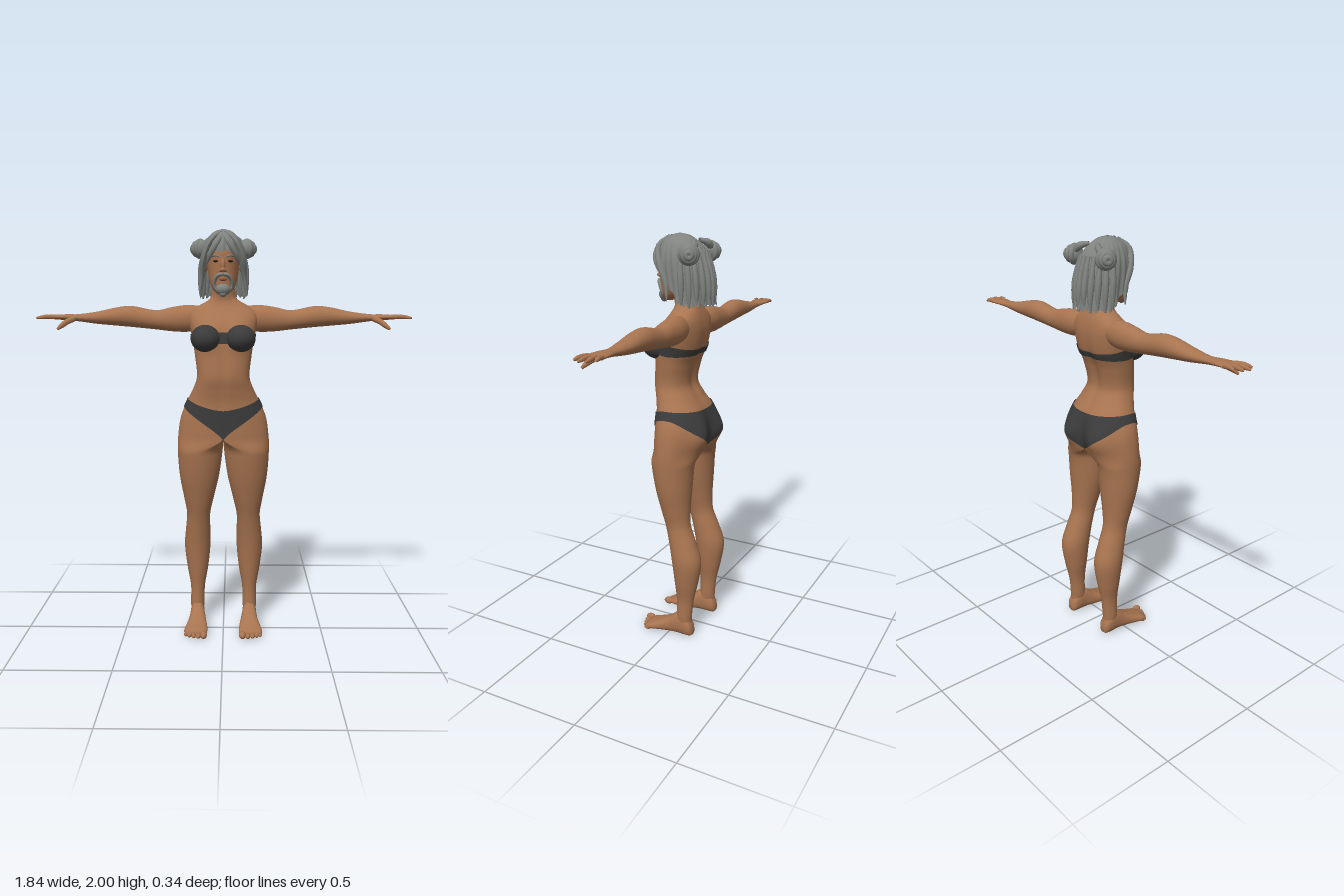
import * as THREE from 'three';

const mat = (name, color, side = THREE.FrontSide) => {
  const m = new THREE.MeshStandardMaterial({ color, side });
  m.name = name;
  return m;
};
const gauss = (d, w) => Math.exp(-(d * d) / (w * w));
const clamp = THREE.MathUtils.clamp, lerp = THREE.MathUtils.lerp;
const pw = (v, e) => Math.sign(v) * Math.abs(v) ** e;

// Smooth interpolation of table rows by their first column
function sample(rows, p) {
  const n = rows.length - 1;
  let i = 0;
  while (i < n - 1 && p > rows[i + 1][0]) i++;
  const A = rows[i], B = rows[i + 1], P = rows[Math.max(i - 1, 0)], N = rows[Math.min(i + 2, n)];
  const h = B[0] - A[0], t = clamp((p - A[0]) / h, 0, 1), t2 = t * t, t3 = t2 * t;
  return A.map((a, c) => {
    const m0 = (B[c] - P[c]) / (B[0] - P[0]) * h, m1 = (N[c] - A[c]) / (N[0] - A[0]) * h;
    return (2 * t3 - 3 * t2 + 1) * a + (t3 - 2 * t2 + t) * m0 + (3 * t2 - 2 * t3) * B[c] + (t3 - t2) * m1;
  });
}

// Grid surface from fn(u, v), turned to face outward
function surface(fn, nu, nv, closed = true, midline = false) {
  const pos = [], idx = [], cols = closed ? nu : nu + 1;
  for (let j = 0; j <= nv; j++) for (let i = 0; i < cols; i++) pos.push(...fn(i / nu, j / nv));
  for (let j = 0; j < nv; j++) for (let i = 0; i < nu; i++) {
    const a = j * cols + i, b = j * cols + (i + 1) % cols, c = a + cols, d = b + cols;
    idx.push(a, b, d, a, d, c);
  }
  const g = new THREE.BufferGeometry();
  g.setAttribute('position', new THREE.Float32BufferAttribute(pos, 3));
  g.setIndex(idx);
  g.computeVertexNormals();
  g.computeBoundingBox();
  const mid = g.boundingBox.getCenter(new THREE.Vector3()), P = g.attributes.position;
  const p = new THREE.Vector3(), n = new THREE.Vector3();
  let sum = 0;
  for (let i = 0; i < P.count; i++) sum += p.fromBufferAttribute(P, i).sub(mid).dot(n.fromBufferAttribute(g.attributes.normal, i));
  if (sum < 0) { g.setIndex(idx.reverse()); g.computeVertexNormals(); }
  // keep shading continuous where two halves meet
  if (midline) for (let i = 0; i < P.count; i++) if (P.getX(i) < 1e-3) {
    n.fromBufferAttribute(g.attributes.normal, i).setX(0).normalize();
    g.attributes.normal.setXYZ(i, n.x, n.y, n.z);
  }
  return g;
}

// Closed loft: rows are [axis, aMin, aMax, bMin, bMax], with rounded ends
function loft(rows, place, nu = 28, nv = 48, e = 1) {
  const s0 = rows[0][0], s1 = rows[rows.length - 1][0];
  return surface((u, v) => {
    const k = clamp((v * (nv + 2) - 1) / nv, 0, 1), [s, a0, a1, b0, b1] = sample(rows, lerp(s0, s1, k));
    const q = v === 0 || v === 1 ? 0.001 : 1, t = u * Math.PI * 2;
    return place(s, (a0 + a1) / 2 + q * (a1 - a0) / 2 * pw(Math.cos(t), e), (b0 + b1) / 2 + q * (b1 - b0) / 2 * pw(Math.sin(t), e));
  }, nu, nv + 2);
}

// Tapered tube through points
function lock(pts, r, tip = 0.15, root = 1) {
  const curve = new THREE.CatmullRomCurve3(pts.map(p => new THREE.Vector3(...p)));
  const segs = 14, rad = 8, g = new THREE.TubeGeometry(curve, segs, r, rad), p = new THREE.Vector3(), P = g.attributes.position;
  for (let i = 0; i < P.count; i++) {
    const t = Math.floor(i / (rad + 1)) / segs, c = curve.getPointAt(t);
    p.fromBufferAttribute(P, i).sub(c).multiplyScalar(t < 0.5 ? lerp(root, 1, t * 2) : lerp(1, tip, (t * 2 - 1) ** 2)).add(c);
    P.setXYZ(i, p.x, p.y, p.z);
  }
  g.computeVertexNormals();
  return g;
}
const ball = (x, y, z, rx, ry = rx, rz = rx) => new THREE.SphereGeometry(1, 28, 20).scale(rx, ry, rz).translate(x, y, z);

// Half body: y, inner x, outer x, front z, back z, blend from leg (0) to torso (1)
const BODY = [
  [0.06, .105, .165, -.035, -.12, 0], [0.1, .1, .17, -.04, -.12, 0], [0.2, .097, .17, -.04, -.13, 0], [0.3, .08, .187, -.03, -.152, 0],
  [0.42, .068, .2, -.015, -.167, 0], [0.52, .068, .192, .003, -.135, 0], [0.6, .067, .185, .022, -.105, 0], [0.68, .05, .197, .045, -.1, 0],
  [0.8, .022, .218, .075, -.105, 0], [0.93, .004, .227, .097, -.113, 0], [1.0, 0, .225, .1, -.125, 1], [1.1, 0, .21, .1, -.132, 1],
  [1.18, 0, .177, .102, -.12, 1], [1.24, 0, .148, .113, -.085, 1], [1.3, 0, .128, .125, -.058, 1], [1.4, 0, .137, .117, -.075, 1],
  [1.48, 0, .15, .105, -.105, 1], [1.56, 0, .165, .085, -.115, 1], [1.61, 0, .16, .055, -.11, 1], [1.645, 0, .115, .035, -.1, 1],
  [1.67, 0, .07, .03, -.09, 1], [1.7, 0, .057, .035, -.085, 1], [1.8, 0, .052, .035, -.08, 1]];
function bodyPoint(t, y, off = 0) {
  const r = sample(BODY, y), k = clamp(r[5], 0, 1), inner = Math.max(r[1], 0), c = Math.cos(t), s = Math.sin(t);
  const leg = (inner + r[2]) / 2 + (r[2] - inner) / 2 * c, trunk = c > 1e-6 ? r[2] * c ** 0.88 : 0;
  const x = lerp(leg, trunk, k);
  let z = (r[3] + r[4]) / 2 + (r[3] - r[4]) / 2 * (k > 0 ? lerp(s, pw(s, 0.88), k) : s);
  if (s < 0) z += s * 0.05 * gauss(x - .1, .075) * gauss(y - 1.06, .085) - s * .014 * gauss(x, .025) * gauss(y - 1.38, .15);
  else z += s * .03 * gauss(x - .083, .06) * gauss(y - 1.5, .06) - s * .008 * gauss(x, .02) * gauss(y - 1.32, .12);
  return [x + off * c, y, z + off * s];
}
// Cloth fitted over the half body between two edge curves of t
const cloth = (bot, top) => surface((u, v) => {
  const t = (u - 0.5) * Math.PI;
  return bodyPoint(t, lerp(bot(t), top(t), v), 0.005);
}, 48, 14, false, true);

export function createModel() {
  const model = new THREE.Group();
  const skin = mat('skin', 0xa87450), fabric = mat('dark cloth', 0x3b3b3c, THREE.DoubleSide);
  const grey = mat('grey hair', 0x808380, THREE.DoubleSide), lipMat = mat('lips', 0x85513c), eyeMat = mat('eyes', 0x2c211c);
  const add = (name, geo, m) => {
    const mesh = new THREE.Mesh(geo, m);
    mesh.name = name;
    model.add(mesh);
  };
  const pair = (name, geo, m) => {
    add(name + 'Left', geo, m);
    const g = geo.clone().applyMatrix4(new THREE.Matrix4().makeScale(-1, 1, 1));
    g.setIndex(Array.from(g.index.array).reverse());
    add(name + 'Right', g, m);
  };

  // Torso and legs
  pair('bodyHalf', surface((u, v) => bodyPoint((u - 0.25) * Math.PI * 2, lerp(0.06, 1.8, v)), 56, 150, true, true), skin);

  // Arms, hands and fingers
  pair('arm', loft([
    [.08, 1.53, 1.635, -.09, 0], [.17, 1.515, 1.645, -.1, .008], [.25, 1.517, 1.635, -.096, .002], [.33, 1.526, 1.62, -.094, -.004],
    [.45, 1.538, 1.64, -.1, -.003], [.52, 1.544, 1.634, -.1, -.005], [.62, 1.553, 1.613, -.095, -.015], [.72, 1.566, 1.6, -.088, -.032],
    [.77, 1.571, 1.6, -.096, -.02], [.82, 1.574, 1.597, -.1, -.008], [.845, 1.578, 1.593, -.096, -.012]], (s, a, b) => [s, a, b], 28, 60), skin);
  [[-.02, .9, -.006], [-.043, .92, -.038], [-.066, .912, -.07], [-.088, .882, -.096]].forEach(([z, tip, tz], i) =>
    pair('finger' + (i + 1), lock([[.82, 1.586, z], [.86, 1.588, (z + tz) / 2], [tip, 1.582, tz]], .0105, .35), skin));
  pair('thumb', lock([[.73, 1.58, -.035], [.765, 1.562, -.008], [.785, 1.545, .012], [.805, 1.528, .025]], .014, .4), skin);

  // Feet and toes
  pair('foot', loft([
    [-.13, .118, .152, .01, .045], [-.12, .106, .164, .002, .075], [-.09, .1, .17, 0, .11], [-.045, .098, .17, 0, .118], [0, .09, .176, 0, .085],
    [.06, .081, .19, 0, .055], [.1, .08, .197, 0, .04], [.125, .088, .188, .003, .03]], (s, a, b) => [a, b, s], 28, 30, 0.85), skin);
  [[.097, .138, .018], [.124, .137, .013], [.147, .131, .012], [.168, .122, .0115], [.186, .11, .011]].forEach(([x, z, r], i) =>
    pair('toe' + (i + 1), ball(x, r, z, r * .95, r, r + .008), skin));

  // Top: band and cups
  pair('topBand', cloth(t => 1.448 + .015 * Math.max(0, Math.sin(t)),
    t => 1.502 + (Math.sin(t) < 0 ? .025 : .015) * Math.sin(t)), fabric);
  pair('topCup', ball(.083, 1.487, .085, .072, .065, .081), fabric);

  // Briefs
  pair('briefs', cloth(t => 1.0 + .152 * Math.max(0, Math.cos(t)) ** (Math.sin(t) > 0 ? .72 : 1.1),
    t => Math.sin(t) > 0 ? 1.14 + .052 * Math.max(0, Math.cos(t)) ** 1.3 : 1.18 + .012 * Math.cos(t)), fabric);
  add('briefsGusset', ball(0, 1.005, -.01, .03, .022, .1), fabric);

  // Head and face
  add('head', loft([
    [1.693, -.025, .025, .045, .095], [1.72, -.05, .05, -.01, .108], [1.76, -.066, .066, -.06, .111], [1.8, -.073, .073, -.09, .112],
    [1.85, -.078, .078, -.1, .114], [1.9, -.078, .078, -.1, .11], [1.95, -.06, .06, -.08, .08], [1.975, -.02, .02, -.03, .03]],
    (s, a, b) => [a, s, b], 32, 40), skin);
  add('noseBridge', ball(0, 1.828, .113, .011, .032, .015), skin);
  add('noseTip', ball(0, 1.806, .121, .013, .011, .015), skin);
  add('mouth', ball(0, 1.762, .11, .02, .007, .008), lipMat);
  pair('nostril', ball(.011, 1.803, .114, .008, .007, .009), skin);
  pair('ear', ball(.083, 1.835, -.008, .01, .032, .02), skin);
  pair('eye', ball(.032, 1.846, .102, .015, .006, .008), eyeMat);
  pair('eyebrow', lock([[.012, 1.864, .115], [.035, 1.872, .107], [.056, 1.865, .092]], .005, .3, .6), grey);

  // Beard
  pair('moustache', lock([[0, 1.786, .117], [.02, 1.782, .114], [.037, 1.762, .1], [.04, 1.73, .088], [.025, 1.705, .09]], .009, .6), grey);
  add('beard', ball(0, 1.718, .091, .036, .03, .031), grey);
  add('beardTip', ball(0, 1.699, .1, .018, .018, .016), grey);

  // Hair shell: short over the brow, long at the back, with strand ridges
  const HAIR = [[0, .004, .02, .008], [.008, .035, .052, -.03], [.025, .058, .085, -.062], [.05, .08, .108, -.095], [.1, .1, .125, -.128],
    [.16, .108, .125, -.145], [.24, .111, .11, -.157], [.33, .116, .1, -.164]];
  const strands = a => Math.cos(a * 24) + .6 * Math.cos(a * 11 + 1);
  add('hair', surface((u, v) => {
    const a = u * Math.PI * 2, f = Math.min(a, Math.PI * 2 - a);
    const drop = lerp(.11, .315, THREE.MathUtils.smoothstep(f, .6, 1.8)) + .006 * strands(a);
    const d = drop * v ** 1.8, [, rx, zf, zb] = sample(HAIR, d), q = 1 + .022 * strands(a) * Math.min(1, d / .08);
    return [rx * q * Math.sin(a), 2 - d, (zf + zb) / 2 + (zf - zb) / 2 * q * Math.cos(a)];
  }, 160, 40), grey);
  for (let i = -5; i <= 5; i++) {
    const a = i * .27, s = Math.sin(a), c = Math.cos(a);
    add('backLock' + (i + 6), lock([[.09 * s, 1.92, -.01 - .11 * c], [.108 * s, 1.84, -.015 - .127 * c],
      [.113 * s, 1.75, -.02 - .135 * c], [.115 * s, 1.675 + .012 * (i & 1), -.022 - .134 * c]], .016, .3, .6), grey);
  }
  pair('sideLock', lock([[.01, 1.985, .06], [.055, 1.945, .095], [.088, 1.87, .075], [.1, 1.78, .035], [.112, 1.7, .025]], .017, .15, .6), grey);
  pair('fringeLock', lock([[.0, 1.975, .075], [.025, 1.935, .115], [.055, 1.885, .112], [.078, 1.83, .088]], .014, .1, .6), grey);

  // Buns wound from coils
  pair('bun', ball(.115, 1.915, -.088, .042, .046, .042), grey);
  [[.036, 0], [.026, .022], [.012, .036]].forEach(([r, out], i) =>
    pair('bunCoil' + (i + 1), new THREE.TorusGeometry(r, .014, 10, 28).rotateY(Math.PI / 2 + .5)
      .translate(.113 + out * .88, 1.915, -.09 - out * .45), grey));
  pair('bunBraid', lock([[.03, 1.97, -.07], [.07, 1.955, -.095], [.1, 1.925, -.1]], .018, .8, .5), grey);
  return model;
}
